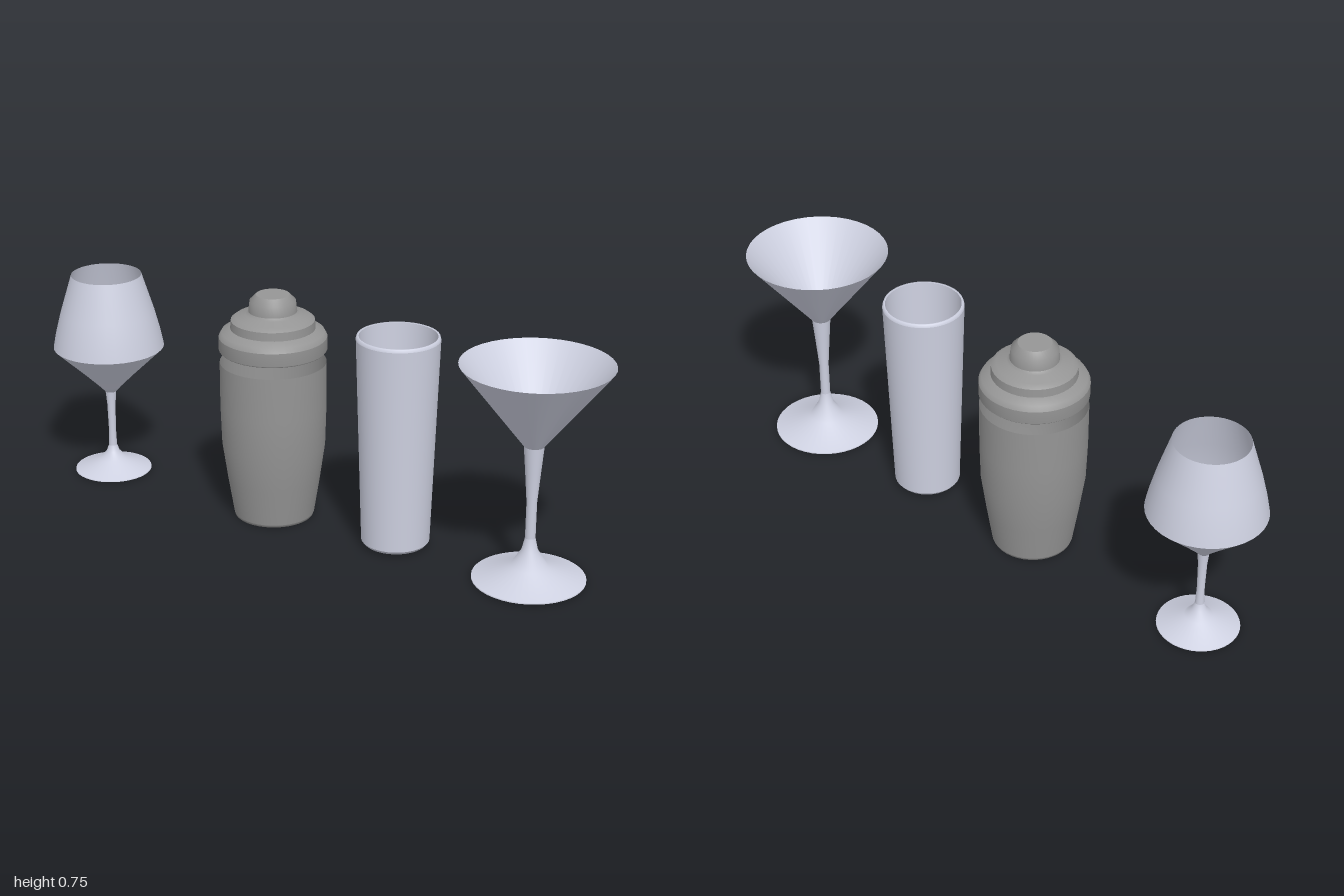
import * as THREE from 'three';

const glass = new THREE.MeshStandardMaterial({ color: 0xcdd0e0, side: THREE.DoubleSide });
glass.name = 'pale glass';
const steel = new THREE.MeshStandardMaterial({ color: 0x959595, side: THREE.DoubleSide });
steel.name = 'grey steel';

// Turns a profile of [radius, height] points, listed from the bottom up
function turn(name, material, profile) {
  const points = profile.map(([r, y]) => new THREE.Vector2(r, y));
  const mesh = new THREE.Mesh(new THREE.LatheGeometry(points, 40), material);
  mesh.name = name;
  return mesh;
}

function vessel(name, x, parts) {
  const group = new THREE.Group();
  group.name = name;
  group.position.x = x;
  group.add(...parts);
  return group;
}

export function createModel() {
  const model = new THREE.Group();
  model.name = 'barware set';

  // Wine glass: hollow foot and stem, tapering bowl
  model.add(vessel('wineGlass', -0.817, [
    turn('wineFoot', glass, [[0.129, 0.005], [0.128, 0.009], [0.045, 0.042], [0.022, 0.068], [0.014, 0.09]]),
    turn('wineStem', glass, [[0.014, 0.09], [0.012, 0.15], [0.014, 0.24], [0.018, 0.285]]),
    turn('wineBowlBase', glass, [[0, 0.285], [0.018, 0.286], [0.038, 0.308], [0.085, 0.355], [0.184, 0.45]]),
    turn('wineBowlWall', glass, [[0.184, 0.45], [0.174, 0.5], [0.156, 0.57], [0.116, 0.7]]),
  ]));

  // Shaker: open cup with the lid floating just above it
  model.add(vessel('shaker', -0.158, [
    turn('shakerBase', steel, [[0, 0.002], [0.127, 0.002], [0.13, 0.01]]),
    turn('shakerBody', steel, [[0.13, 0.01], [0.149, 0.13], [0.166, 0.25], [0.17, 0.38], [0.17, 0.527]]),
    turn('lidRim', steel, [[0.167, 0.565], [0.172, 0.57], [0.172, 0.612]]),
    turn('lidShoulder', steel, [[0.172, 0.612], [0.163, 0.628], [0.135, 0.64]]),
    turn('lidStep', steel, [[0.135, 0.64], [0.133, 0.667]]),
    turn('lidDome', steel, [[0.133, 0.667], [0.118, 0.678], [0.085, 0.687], [0.077, 0.695]]),
    turn('lidKnob', steel, [[0.077, 0.695], [0.073, 0.73], [0.053, 0.75]]),
    turn('lidKnobTop', steel, [[0.053, 0.75], [0, 0.75]]),
  ]));

  // Tall tumbler with a rounded lip
  model.add(vessel('tumbler', 0.298, [
    turn('tumblerBase', glass, [[0, 0.012], [0.1, 0.012], [0.108, 0.022]]),
    turn('tumblerWall', glass, [[0.108, 0.022], [0.13, 0.69]]),
    turn('tumblerLip', glass, [[0.13, 0.69], [0.127, 0.7], [0.121, 0.699]]),
    turn('tumblerInside', glass, [[0.121, 0.699], [0.102, 0.03]]),
    turn('tumblerFloor', glass, [[0.102, 0.03], [0, 0.03]]),
  ]));

  // Cocktail glass: flared foot, tapered stem, wide cone
  model.add(vessel('cocktailGlass', 0.767, [
    turn('cocktailFoot', glass, [[0.175, 0.006], [0.175, 0.011], [0.058, 0.05], [0.025, 0.103], [0.016, 0.143]]),
    turn('cocktailStem', glass, [[0.016, 0.143], [0.016, 0.26], [0.024, 0.36], [0.031, 0.443]]),
    turn('cocktailCupFloor', glass, [[0, 0.443], [0.031, 0.443]]),
    turn('cocktailCup', glass, [[0.031, 0.443], [0.232, 0.7]]),
  ]));

  return model;
}
